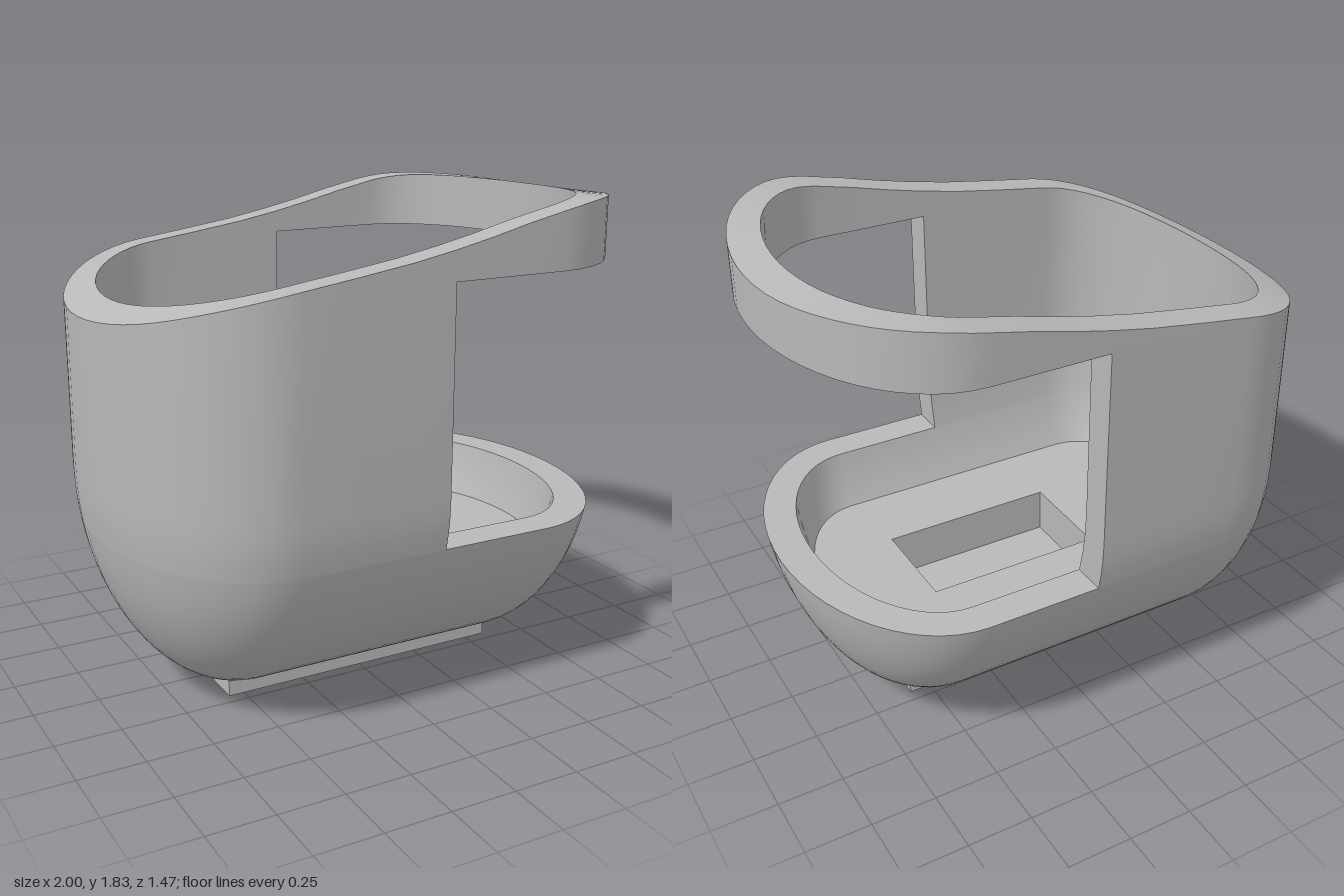
import * as THREE from 'three';
import { toCreasedNormals } from 'three/addons/utils/BufferGeometryUtils.js';

const OUT = { a: 0.5, b: 0.735, y: 0.85, h: 0.82 };   // outer shell: end radii, spring line, bowl depth
const INN = { a: 0.38, b: 0.617, y: 0.92, h: 0.82 };  // inner shell
const CUT_X = 0.06, RIM = 0.65, RING = 1.6, FLOOR = 0.44, POCKET = 0.26;

// wavy height of the upper rim along x
const wave = new THREE.SplineCurve([
  [-1, 1.468], [-0.8, 1.546], [-0.6, 1.6], [-0.4, 1.633], [-0.2, 1.66], [0, 1.695],
  [0.2, 1.738], [0.4, 1.787], [0.6, 1.825], [0.75, 1.832], [0.9, 1.823], [1, 1.803],
].map(([x, y]) => new THREE.Vector2(x, y))).getPoints(120);
function topY(x, z) {
  let i = 1;
  while (i < wave.length - 1 && wave[i].x < x) i++;
  const p = wave[i - 1], q = wave[i];
  return p.y + (q.y - p.y) * (x - p.x) / (q.x - p.x) - 0.012 + 0.017 * z;
}

// half outlines as directions: centre on the straight, plus an angle
function halfOutline(sign) {
  const list = [], straight = sign > 0 ? [CUT_X, 0.2, 0.35] : [CUT_X, -0.1, -0.3];
  const start = sign > 0 ? Math.PI / 2 : -Math.PI / 2;
  const add = (c, t) => list.push({ c, ex: Math.cos(t), ez: Math.sin(t) });
  straight.forEach(c => add(c, start));
  for (let i = 0; i <= 28; i++) add(sign * 0.5, start - Math.PI * i / 28);
  straight.reverse().forEach(c => add(c, start - Math.PI));
  return list;
}

// point of a shell at height y (a vertical wall above the spring line)
function at(shell, d, y) {
  const k = Math.min(1, Math.max(0, (shell.y - y) / shell.h));
  const s = Math.sqrt(1 - k * k);
  return [d.c + d.ex * shell.a * s, y, d.ez * shell.b * s];
}
function atTop(shell, d) {
  const p = at(shell, d, 1.5);
  return [p[0], topY(p[0], p[2]), p[2]];
}

// skin the section of every direction; optional flat caps on both ends
function loft(dirs, section, caps = false) {
  const pos = [], rows = dirs.map(section), n = rows[0].length;
  const quad = (a, b, c, d) => pos.push(...a, ...b, ...c, ...a, ...c, ...d);
  for (let i = 0; i < rows.length - 1; i++)
    for (let j = 0; j < n - 1; j++)
      quad(rows[i][j], rows[i + 1][j], rows[i + 1][j + 1], rows[i][j + 1]);
  if (caps) {
    const f = rows[0], l = rows[rows.length - 1];
    for (let j = 0; j < n / 2 - 1; j++) {
      const m = n - 1 - j;
      quad(f[m], f[j], f[j + 1], f[m - 1]);
      quad(l[j], l[m], l[m - 1], l[j + 1]);
    }
  }
  const g = new THREE.BufferGeometry();
  g.setAttribute('position', new THREE.Float32BufferAttribute(pos, 3));
  return toCreasedNormals(g, 0.5);
}

export function createModel() {
  const group = new THREE.Group();
  const grey = new THREE.MeshStandardMaterial({ color: 0xb8b8b8 });
  grey.name = 'grey';
  const add = (name, geometry) => {
    const mesh = new THREE.Mesh(geometry, grey);
    mesh.name = name;
    group.add(mesh);
    return mesh;
  };
  const right = halfOutline(1), left = halfOutline(-1);
  const full = [...right, ...left.slice(1)];

  // rounded bowl: outer skin, flat rim, inner skin down to the floor
  const maxPhi = Math.acos((OUT.y - RIM) / OUT.h);
  add('bowl', loft(full, d => {
    const pts = [];
    for (let i = 0; i <= 20; i++)
      pts.push(at(OUT, d, OUT.y - OUT.h * Math.cos(maxPhi * i / 20)));
    for (let i = 0; i <= 5; i++)
      pts.push(at(INN, d, RIM + (FLOOR - RIM) * i / 5));
    return pts;
  }));

  // floor slab with a rectangular pocket
  const floor = new THREE.Shape(full.slice(0, -1).map(d => {
    const p = at(INN, d, FLOOR);
    return new THREE.Vector2(p[0], -p[2]);
  }));
  floor.holes.push(new THREE.Path([[-0.24, -0.197], [-0.24, 0.197], [0.455, 0.197], [0.455, -0.197]]
    .map(p => new THREE.Vector2(...p))));
  const slab = new THREE.ExtrudeGeometry(floor, { depth: FLOOR - POCKET, bevelEnabled: false });
  add('floor', slab.rotateX(-Math.PI / 2).translate(0, POCKET, 0));
  add('pocketBottom', new THREE.PlaneGeometry(0.695, 0.394).rotateX(-Math.PI / 2)
    .translate(0.1075, POCKET, 0));

  // tall wall around the closed end
  add('wall', loft(left, d => [
    at(OUT, d, RIM), at(OUT, d, 0.72), at(OUT, d, 0.78), at(OUT, d, OUT.y), atTop(OUT, d),
    atTop(INN, d), at(INN, d, INN.y), at(INN, d, 0.83), at(INN, d, 0.74), at(INN, d, RIM),
  ], true));

  // hoop over the opening
  add('hoop', loft(right, d => [
    at(OUT, d, RING), atTop(OUT, d), atTop(INN, d), at(INN, d, RING), at(OUT, d, RING),
  ]));

  // flat foot
  add('foot', new THREE.BoxGeometry(1.145, 0.06, 0.41)).position.set(0.0125, 0.03, 0);
  return group;
}
